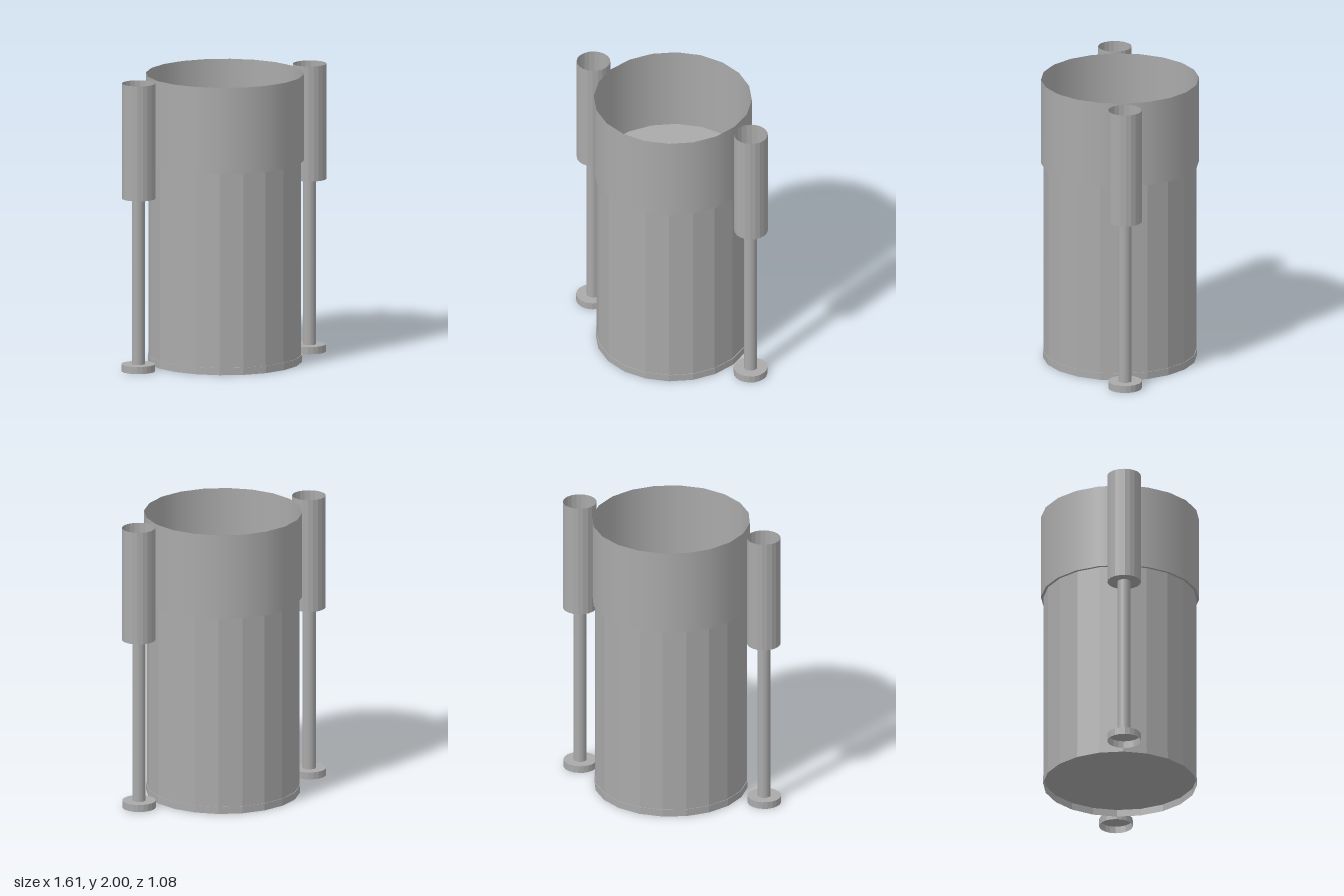
import * as THREE from 'three';

const SIDES = 20;

export function createModel() {
  const model = new THREE.Group();
  const smooth = new THREE.MeshStandardMaterial({ color: 0xaaaaaa, side: THREE.DoubleSide });
  const faceted = new THREE.MeshStandardMaterial({ color: 0xaaaaaa, side: THREE.DoubleSide, flatShading: true });

  // Thin upright tube from y0 to y1, with a corner on the x axis
  function tube(parent, name, radius, y0, y1, material, x = 0) {
    const geometry = new THREE.CylinderGeometry(radius, radius, y1 - y0, SIDES, 1, true);
    const mesh = new THREE.Mesh(geometry, material);
    mesh.name = name;
    mesh.position.set(x, (y0 + y1) / 2, 0);
    parent.add(mesh);
  }

  // Flat horizontal disc closing a tube
  function disc(parent, name, radius, y, x = 0) {
    const geometry = new THREE.CircleGeometry(radius, SIDES).rotateX(-Math.PI / 2);
    const mesh = new THREE.Mesh(geometry, faceted);
    mesh.name = name;
    mesh.position.set(x, y, 0);
    parent.add(mesh);
  }

  // Main vessel: hollow base ring, faceted body, wider open collar
  const vessel = new THREE.Group();
  vessel.name = 'vessel';
  vessel.position.x = 0.005;
  tube(vessel, 'baseRing', 0.527, 0, 0.05, faceted);
  disc(vessel, 'baseTop', 0.527, 0.05);
  tube(vessel, 'body', 0.523, 0.05, 1.4, faceted);
  disc(vessel, 'collarFloor', 0.541, 1.4);
  tube(vessel, 'collar', 0.541, 1.4, 2, smooth);
  model.add(vessel);

  // Side posts: hollow foot, slim rod, open-topped sleeve
  for (const [side, name] of [[1, 'leftPost'], [-1, 'rightPost']]) {
    const post = new THREE.Group();
    post.name = name;
    post.position.x = side * 0.69;
    tube(post, 'footRim', 0.115, 0, 0.05, faceted, -0.004);
    disc(post, 'footTop', 0.115, 0.05, -0.004);
    tube(post, 'rod', 0.045, 0.05, 1.2, smooth, -0.003);
    disc(post, 'rodFoot', 0.045, 0.049, -0.003);
    disc(post, 'sleeveFloor', 0.115, 1.2);
    tube(post, 'sleeve', 0.115, 1.2, 2, faceted);
    model.add(post);
  }

  return model;
}
